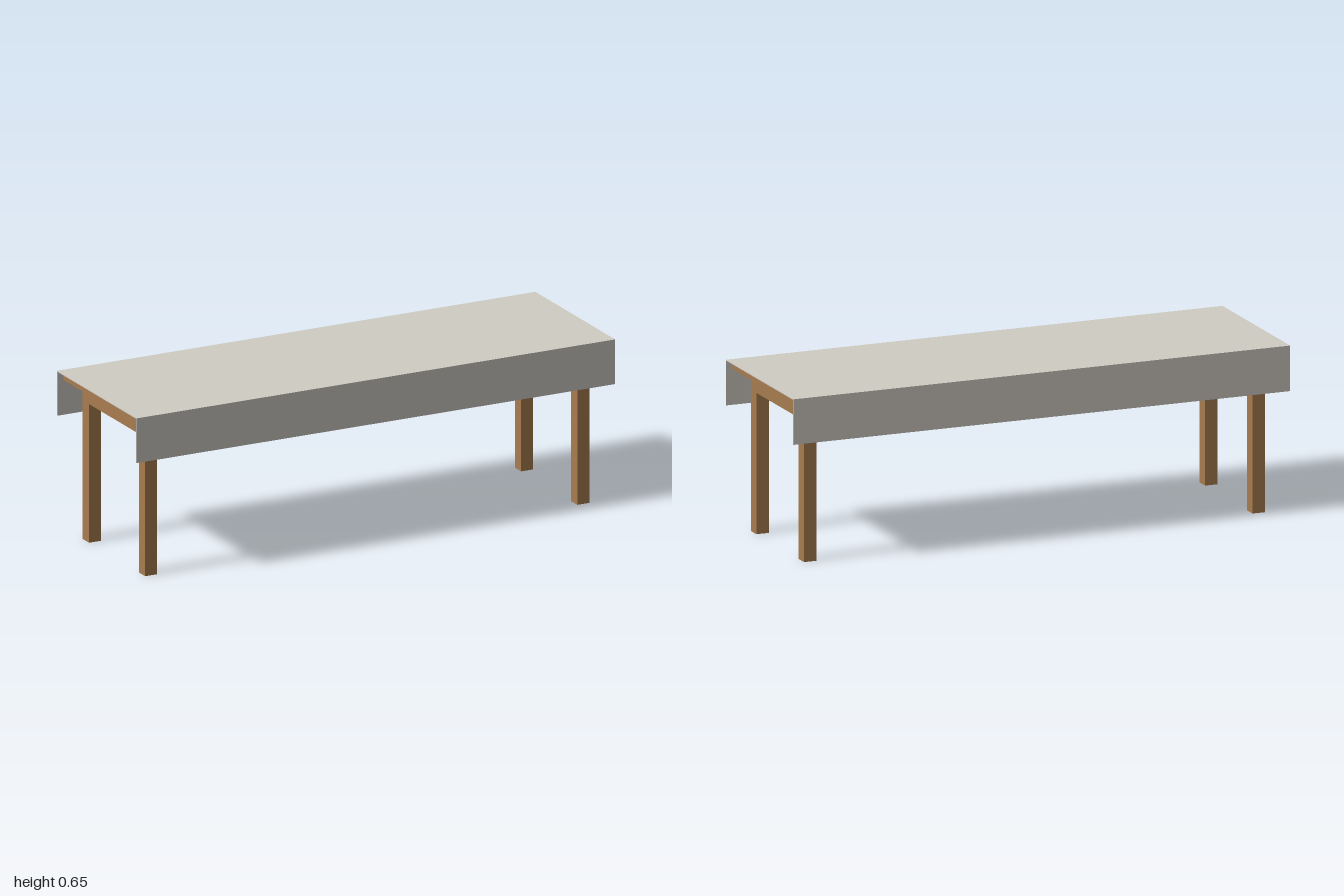
import * as THREE from 'three';

export function createModel() {
  const table = new THREE.Group();
  table.name = 'table';
  const wood = new THREE.MeshStandardMaterial({ color: 0xa87d50 });
  const fabric = new THREE.MeshStandardMaterial({ color: 0xd1cdc5 });

  // Box given by its lower and upper bounds on each axis
  function box(name, material, [x0, x1], [y0, y1], [z0, z1]) {
    const mesh = new THREE.Mesh(new THREE.BoxGeometry(x1 - x0, y1 - y0, z1 - z0), material);
    mesh.position.set((x0 + x1) / 2, (y0 + y1) / 2, (z0 + z1) / 2);
    mesh.name = name;
    table.add(mesh);
    return mesh;
  }

  // Wooden top and the solid frame under it
  box('tabletop', wood, [-0.98, 0.98], [0.612, 0.643], [-0.3, 0.3]);
  box('frame', wood, [-0.928, 0.928], [0.54, 0.612], [-0.248, 0.248]);

  // Four square legs, flush with the frame corners
  for (const sx of [-1, 1]) {
    for (const sz of [-1, 1]) {
      const leg = box(`${sz > 0 ? 'front' : 'back'}${sx > 0 ? 'Left' : 'Right'}Leg`, wood,
        [-0.025, 0.025], [0, 0.54], [-0.025, 0.025]);
      leg.position.x = sx * 0.903;
      leg.position.z = sz * 0.223;
    }
  }

  // Thin cloth: a flat sheet with a hanging flap along each long side
  box('clothTop', fabric, [-1, 1], [0.643, 0.646], [-0.317, 0.317]);
  box('clothFrontFlap', fabric, [-1, 1], [0.472, 0.643], [0.313, 0.317]);
  box('clothBackFlap', fabric, [-1, 1], [0.472, 0.643], [-0.317, -0.313]);

  return table;
}
